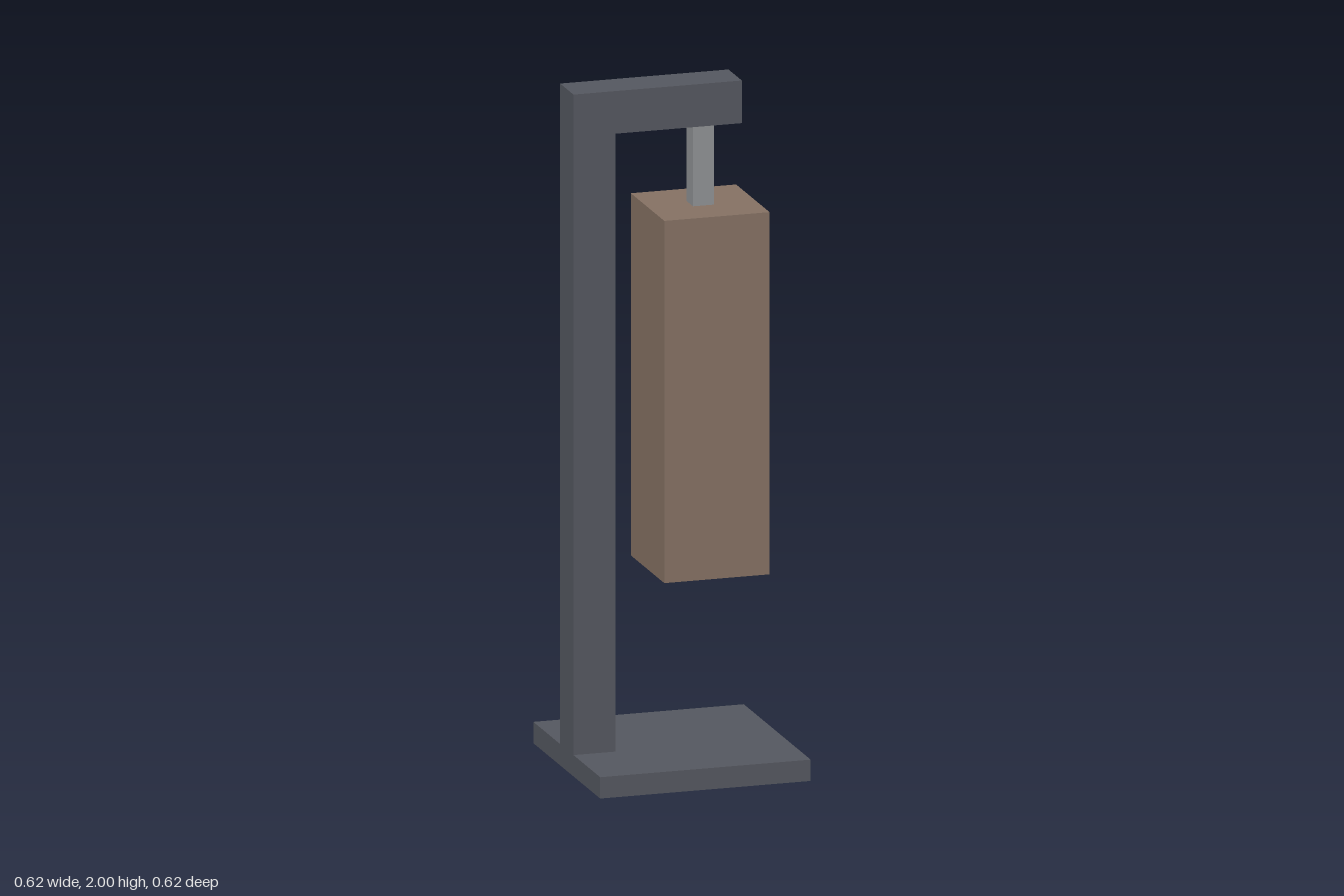
import * as THREE from 'three';

export function createModel() {
  const model = new THREE.Group();
  model.name = 'hangingBagStand';

  const material = (name, color) => {
    const m = new THREE.MeshStandardMaterial({ color });
    m.name = name;
    return m;
  };
  const darkMetal = material('darkMetal', 0x555860);
  const lightMetal = material('lightMetal', 0x909395);
  const leather = material('brownLeather', 0x867264);

  // The design sits on a grid of 1/16 unit; boxes run from corner to corner.
  const U = 1 / 16;
  const addBox = (name, mat, [x0, y0, z0], [x1, y1, z1]) => {
    const mesh = new THREE.Mesh(
      new THREE.BoxGeometry((x1 - x0) * U, (y1 - y0) * U, (z1 - z0) * U), mat);
    mesh.position.set((x0 + x1) * U / 2, (y0 + y1) * U / 2, (z0 + z1) * U / 2);
    mesh.name = name;
    model.add(mesh);
  };

  // Stand: floor plate, upright and overhanging arm
  addBox('basePlate', darkMetal, [-5, 0, -5], [5, 1, 5]);
  addBox('post', darkMetal, [-5, 1, -1], [-3, 30, 1]);
  addBox('arm', darkMetal, [-5, 30, -1], [3, 32, 1]);

  // Hanger and the bag below it
  addBox('hanger', lightMetal, [1, 26, -1], [2, 30, 0]);
  addBox('bag', leather, [-1, 9, -3], [4, 26, 2]);

  return model;
}
